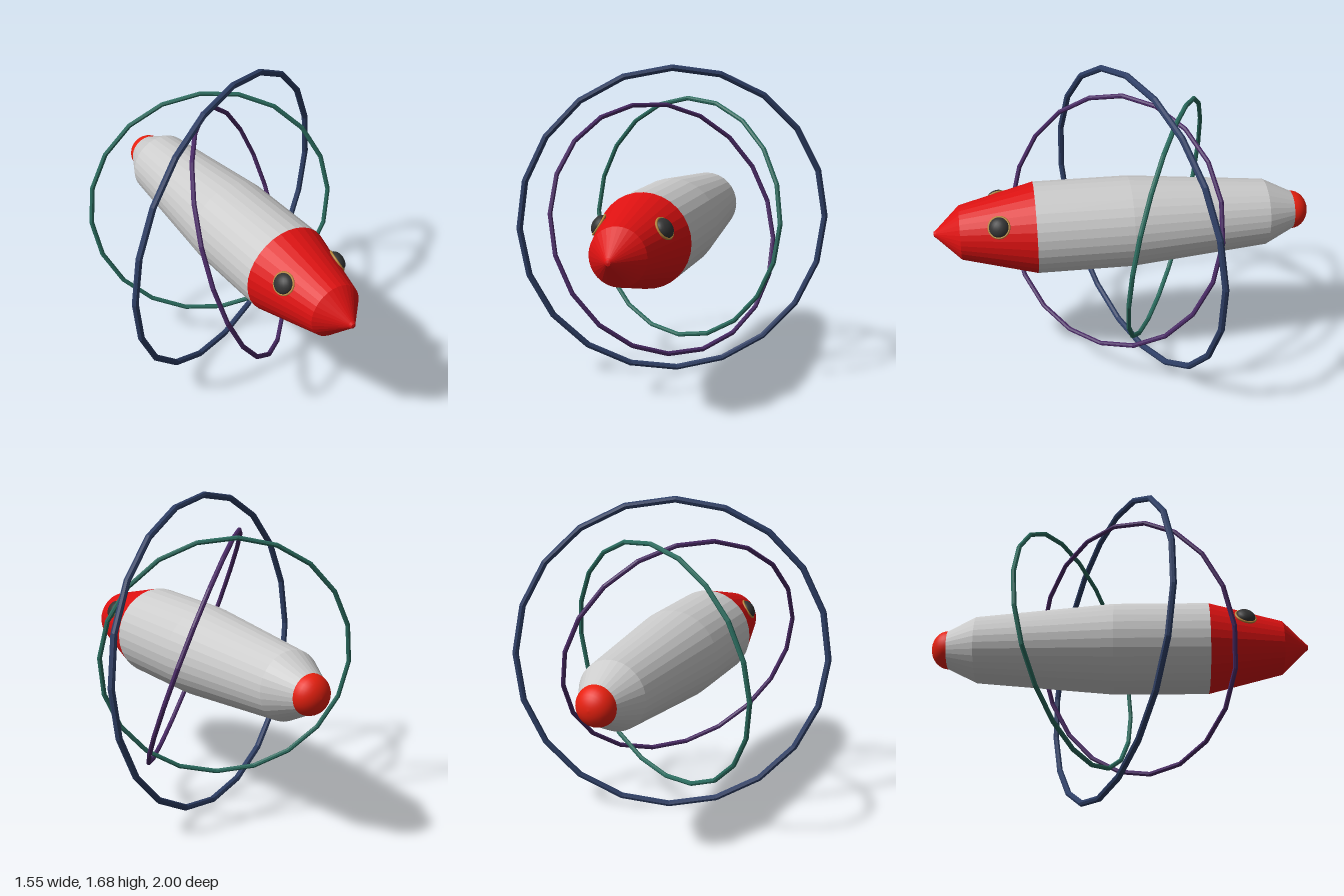
import * as THREE from 'three';

const AXIS_Y = 0.86;

function mat(color, flatShading = true) {
  return new THREE.MeshStandardMaterial({ color, flatShading });
}

// Faceted solid of revolution along z; profile is [radius, z] from back to front
function turned(name, profile, material) {
  const points = profile.map(([r, z]) => new THREE.Vector2(r, z));
  const geometry = new THREE.LatheGeometry(points, 32).rotateX(Math.PI / 2);
  const mesh = new THREE.Mesh(geometry, material);
  mesh.name = name;
  mesh.position.y = AXIS_Y;
  return mesh;
}

export function createModel() {
  const model = new THREE.Group();
  model.name = 'ringedRocket';
  const red = mat(0xdd1111);

  // Hull and nose
  model.add(turned('hull', [[0, -0.915], [0.1, -0.915], [0.177, -0.76], [0.242, -0.03], [0.242, 0.47]], mat(0xcccccc)));
  model.add(turned('nose', [[0.242, 0.47], [0.143, 0.86], [0.022, 0.985], [0.013, 0.997], [0, 1]], red));

  // Rounded tail cap
  const dome = [];
  for (let i = 0; i <= 8; i++) {
    const a = (i / 8) * Math.PI / 2;
    dome.push([0.102 * Math.sin(a), -0.912 - 0.088 * Math.cos(a)]);
  }
  model.add(turned('tailCap', dome, mat(0xe8200f, false)));

  // Bulging portholes with brass rims, lying on the nose slope
  const glass = mat(0x333333, false);
  const brass = mat(0xb8863b, false);
  for (const side of [-1, 1]) {
    const porthole = new THREE.Group();
    porthole.name = side > 0 ? 'leftPorthole' : 'rightPorthole';
    const lens = new THREE.Mesh(new THREE.SphereGeometry(0.052, 20, 14), glass);
    lens.name = 'lens';
    lens.scale.z = 0.65;
    const rim = new THREE.Mesh(new THREE.TorusGeometry(0.054, 0.006, 8, 28), brass);
    rim.name = 'rim';
    porthole.add(lens, rim);
    const normal = new THREE.Vector3(side * 0.815, 0.53, 0.25).normalize();
    porthole.quaternion.setFromUnitVectors(new THREE.Vector3(0, 0, 1), normal);
    porthole.position.set(side * 0.163, AXIS_Y + 0.106, 0.66);
    model.add(porthole);
  }

  // Tilted orbit rings: name, radius, tube, z, rotation, colour
  const rings = [
    ['outerRing', 0.825, 0.017, -0.06, [0.054, 0.404, 0], 0x2e3f66],
    ['rearRing', 0.653, 0.0125, -0.23, [-0.138, -0.429, 0], 0x2a6b5e],
    ['frontRing', 0.668, 0.0125, 0.066, [-0.483, 0.768, 0.157], 0x4a2a66],
  ];
  for (const [name, radius, tube, z, rotation, color] of rings) {
    const ring = new THREE.Mesh(new THREE.TorusGeometry(radius, tube, 8, 20), mat(color));
    ring.name = name;
    ring.rotation.set(...rotation);
    ring.position.set(0, AXIS_Y, z);
    model.add(ring);
  }
  return model;
}
